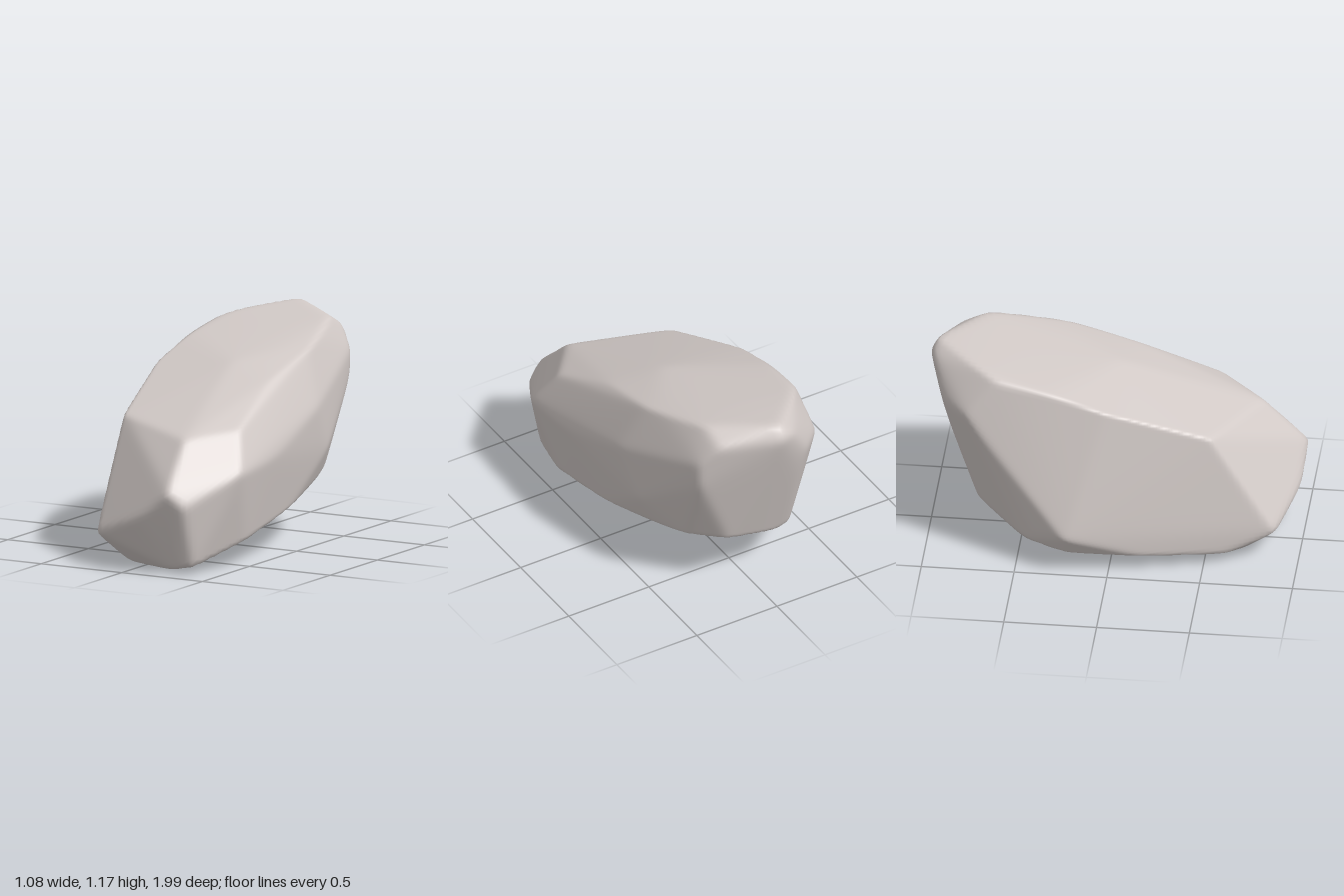
import * as THREE from 'three';
import { ConvexGeometry } from 'three/addons/geometries/ConvexGeometry.js';
import { mergeVertices } from 'three/addons/utils/BufferGeometryUtils.js';

// Main corners of the boulder, grouped by side
const topCorners = [
  [-0.04, 1.17, -0.95], [-0.28, 1.13, -0.7], [-0.35, 1.09, -0.6], [-0.36, 1.05, -0.34],
  [-0.37, 0.95, -0.02], [0.29, 1.14, -0.7], [0.37, 1.07, -0.45], [0.4, 1.04, -0.3],
  [0.3, 1.04, -0.23], [0.1, 1.0, 0], [0.38, 0.94, 0.08],
];
const frontCorners = [
  [-0.26, 0.76, 0.53], [0.25, 0.71, 0.76], [0.28, 0.46, 1], [0.36, 0.37, 0.97],
  [-0.23, 0.18, 0.87], [0.1, 0.31, 0.985], [0.45, 0.74, 0.52],
];
const sideCorners = [
  [0.54, 0.53, 0.65], [0.54, 0.55, 0.3], [0.51, 0.75, -0.2], [0.47, 0.14, 0.48],
  [0.48, 0.5, -0.36], [0.36, 0.82, -0.8], [0.37, 0.96, -0.79], [0.46, 0.23, 0.02],
  [0.41, 0.33, -0.36], [-0.54, 0.25, -0.22], [-0.46, 0.12, -0.22], [-0.42, 0.1, 0.2],
  [-0.3, 0.07, 0.6],
];
const backCorners = [
  [-0.04, 1.08, -1], [0.28, 1.07, -0.86], [-0.12, 1.1, -0.97], [-0.24, 0.9, -0.91],
  [-0.38, 0.89, -0.77], [-0.2, 0.73, -0.88], [-0.38, 0.81, -0.69], [-0.14, 0.28, -0.73],
  [-0.24, 0.3, -0.72], [-0.42, 0.17, -0.45], [0.16, 0.36, -0.75], [0.33, 0.35, -0.58],
];
const bottomCorners = [
  [-0.12, 0.005, 0.7], [0.25, 0.02, 0.88], [0.36, 0.04, 0.85], [0, 0, 0.6],
];

// Facet planes of the hull, as outward normal and distance from the centre
function facetPlanes(points) {
  const pos = new ConvexGeometry(points).attributes.position;
  const planes = [];
  const tri = new THREE.Triangle();
  for (let i = 0; i < pos.count; i += 3) {
    tri.setFromAttributeAndIndices(pos, i, i + 1, i + 2);
    if (tri.getArea() < 1e-4) continue;
    const n = tri.getNormal(new THREE.Vector3());
    const d = n.dot(tri.a);
    if (d > 0.02) planes.push({ n, d });
  }
  return planes;
}

// A dense ball pushed out to the facets, with softly worn edges
function wornStone(corners, centre, sharpness, allowance) {
  const points = corners.map((p) => new THREE.Vector3(...p).sub(centre));
  const planes = facetPlanes(points);
  let geo = new THREE.IcosahedronGeometry(1, 45);
  geo.deleteAttribute('normal');
  geo.deleteAttribute('uv');
  geo = mergeVertices(geo, 1e-5);
  const pos = geo.attributes.position;
  const v = new THREE.Vector3();
  for (let i = 0; i < pos.count; i++) {
    v.fromBufferAttribute(pos, i).normalize();
    let sum = 0;
    for (const { n, d } of planes) sum += Math.max(0, n.dot(v) / d) ** sharpness;
    v.multiplyScalar(allowance * sum ** (-1 / sharpness)).add(centre);
    pos.setXYZ(i, v.x, v.y, v.z);
  }
  geo.computeVertexNormals();
  return geo;
}

export function createModel() {
  const stone = new THREE.MeshStandardMaterial({ color: 0xd2cac7 });
  stone.name = 'warm grey stone';
  const corners = [...topCorners, ...frontCorners, ...sideCorners, ...backCorners, ...bottomCorners];
  const centre = new THREE.Vector3(0.02, 0.55, 0);
  const boulder = new THREE.Mesh(wornStone(corners, centre, 120, 1.01), stone);
  boulder.name = 'boulder';
  const model = new THREE.Group();
  model.name = 'rock';
  model.add(boulder);
  return model;
}
